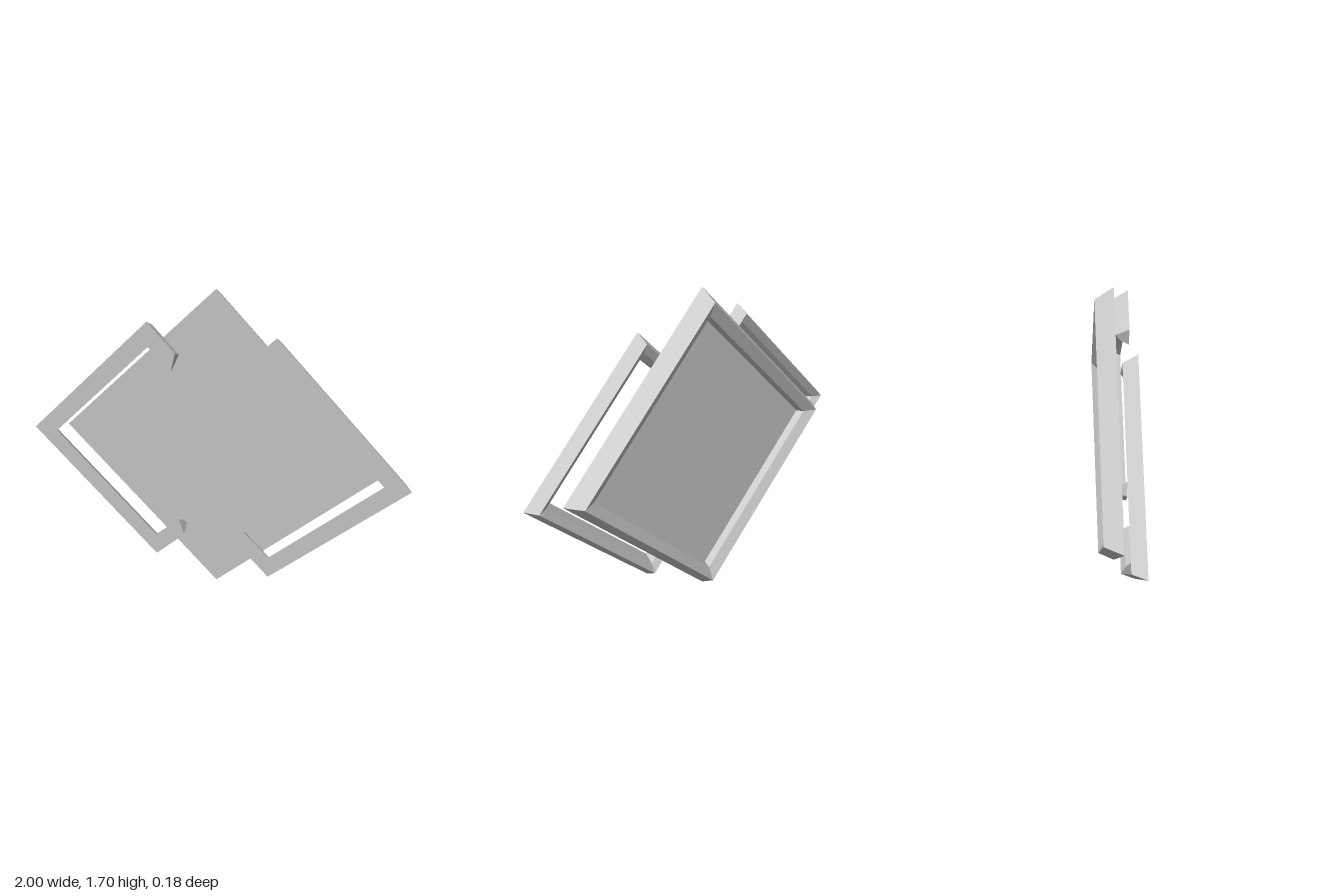
import * as THREE from 'three';

const CENTRE_Y = 0.85;

// Flat facets for every face
function faceted(geometry) {
  const g = geometry.index ? geometry.toNonIndexed() : geometry;
  g.computeVertexNormals();
  return g;
}

// Four-sided dish: flat front, bevelled rim and recessed floor at the back
function panelGeometry() {
  const profile = [[0, 0], [0.848, 0], [0.79, 0.088], [0.717, 0.056], [0.7, 0.02], [0, 0.02]]
    .map(([r, h]) => new THREE.Vector2(r, h));
  const g = new THREE.LatheGeometry(profile, 4);
  g.rotateX(-Math.PI / 2);
  g.translate(0, CENTRE_Y, 0);
  return faceted(g);
}

// Hooked rail: a tapered section swept along outer/inner corner pairs
function railGeometry(side) {
  const stations = [
    [0.18, 1.385, 0.203, 1.289],
    [0.32, 1.53, 0.32, 1.4],
    [1, 0.85, 0.87, 0.85],
    [0.32, 0.171, 0.32, 0.3],
    [0.155, 0.337, 0.182, 0.428],
  ];
  // [position from outer to inner edge, z]
  const section = [[0, 0.088], [0.31, 0.02], [0.7, 0.045], [1, 0.088]];
  const rings = stations.map(([ox, oy, ix, iy]) => section.map(([t, z]) => [
    side * THREE.MathUtils.lerp(ox, ix, t), THREE.MathUtils.lerp(oy, iy, t), z,
  ]));

  const positions = [];
  const tri = (a, b, c) => positions.push(...a, ...(side < 0 ? b : c), ...(side < 0 ? c : b));
  const quad = (a, b, c, d) => { tri(a, b, c); tri(a, c, d); };

  for (let i = 0; i < rings.length - 1; i++) {
    for (let j = 0; j < 4; j++) {
      const k = (j + 1) % 4;
      quad(rings[i][j], rings[i][k], rings[i + 1][k], rings[i + 1][j]);
    }
  }
  // End caps
  const [s, e] = [rings[0], rings[rings.length - 1]];
  quad(s[0], s[3], s[2], s[1]);
  quad(e[0], e[1], e[2], e[3]);

  const g = new THREE.BufferGeometry();
  g.setAttribute('position', new THREE.Float32BufferAttribute(positions, 3));
  return faceted(g);
}

export function createModel() {
  const grey = new THREE.MeshStandardMaterial({ color: 0xc0c0c0 });
  grey.name = 'grey';

  const model = new THREE.Group();
  model.name = 'diamondPlaque';
  const add = (name, geometry) => {
    const mesh = new THREE.Mesh(geometry, grey);
    mesh.name = name;
    model.add(mesh);
  };

  add('diamondPanel', panelGeometry());
  add('leftHookedRail', railGeometry(1));
  add('rightHookedRail', railGeometry(-1));
  return model;
}
